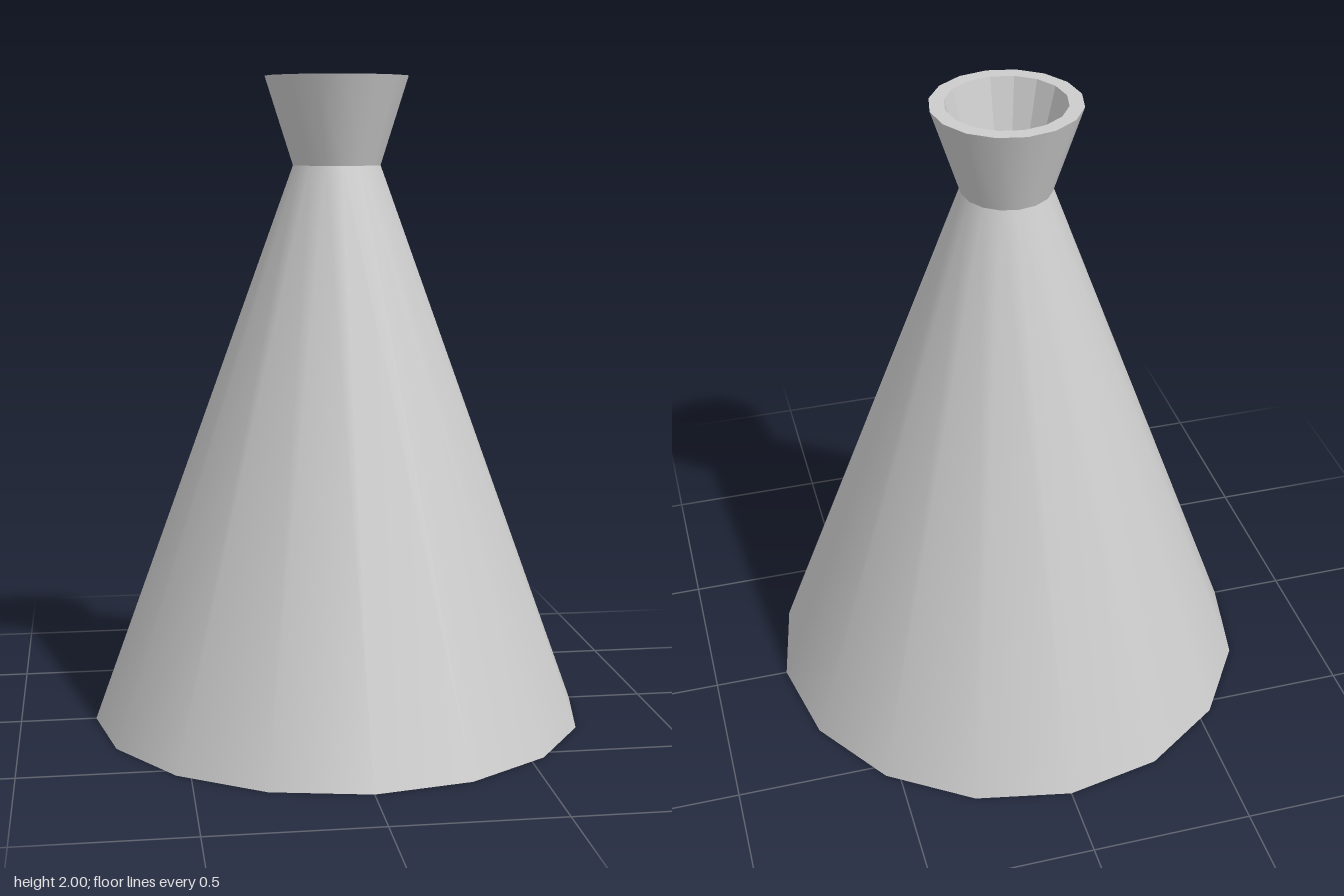
import * as THREE from 'three';

const SIDES = 16;
const smooth = new THREE.MeshStandardMaterial({ color: 0xcccccc });
const faceted = new THREE.MeshStandardMaterial({ color: 0xcccccc, flatShading: true });

// Revolves a [radius, height] profile around the y axis
function turned(name, profile, material) {
  const points = profile.map(([r, y]) => new THREE.Vector2(r, y));
  const mesh = new THREE.Mesh(new THREE.LatheGeometry(points, SIDES), material);
  mesh.name = name;
  return mesh;
}

export function createModel() {
  const model = new THREE.Group();
  model.name = 'flaredCone';

  model.add(
    // smooth outer skin, creased at the neck
    turned('coneBody', [[0.767, 0], [0.136, 1.73]], smooth),
    turned('collar', [[0.136, 1.73], [0.222, 2]], smooth),
    // faceted cup: rim, inner wall and floor
    turned('collarCup', [[0.222, 2], [0.178, 2], [0.131, 1.83], [0, 1.83]], faceted),
    // faceted hollow: closed top, inner wall and bottom rim
    turned('coneHollow', [[0, 1.35], [0.1, 1.35], [0.692, 0], [0.767, 0]], faceted)
  );
  return model;
}
